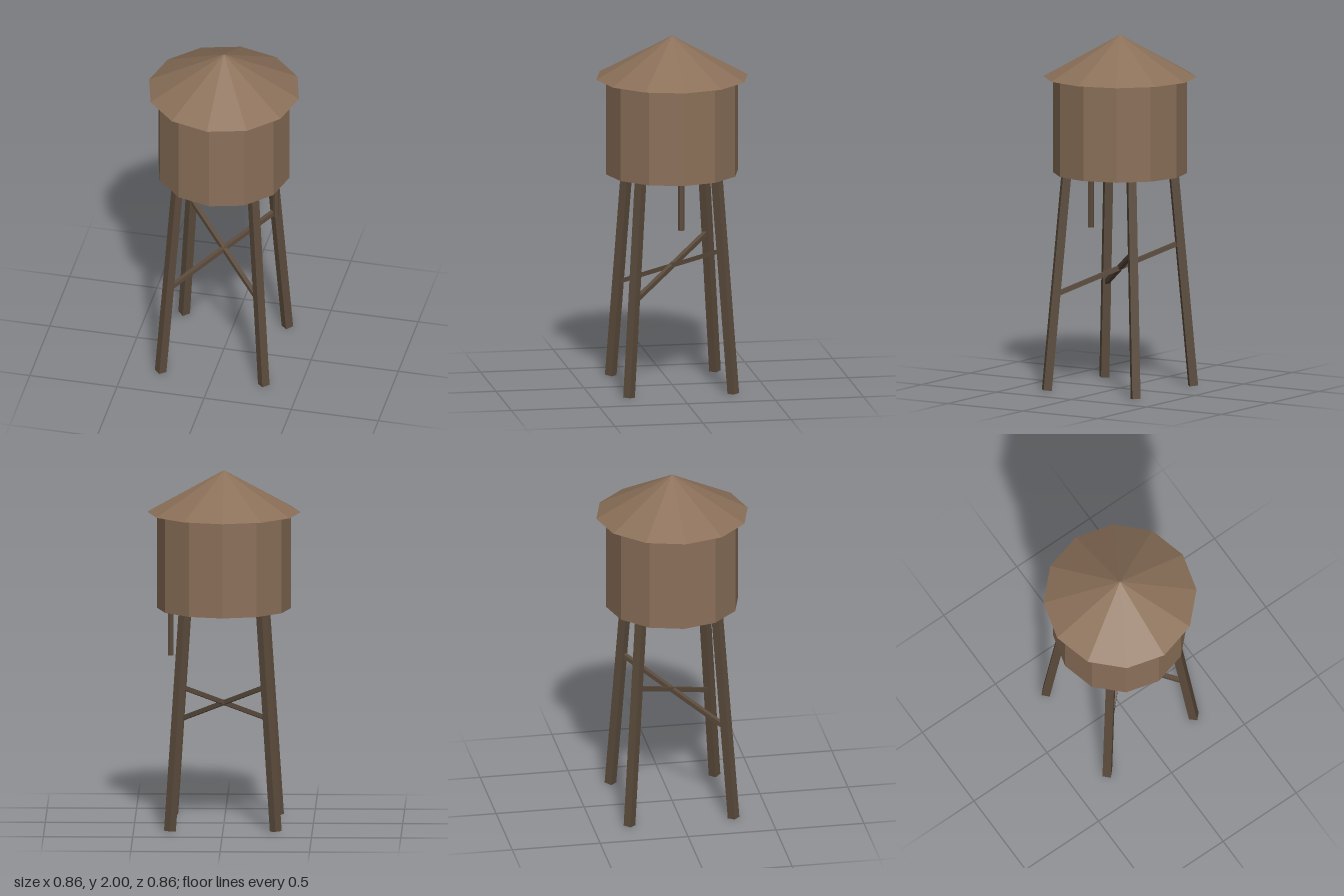
import * as THREE from 'three';

export function createModel() {
  const model = new THREE.Group();
  model.name = 'waterTower';

  const paleWood = new THREE.MeshStandardMaterial({ color: 0x8b7059, flatShading: true });
  paleWood.name = 'paleWood';
  const darkWood = new THREE.MeshStandardMaterial({ color: 0x5c4c3d, flatShading: true });
  darkWood.name = 'darkWood';

  const add = (name, geometry, material, x, y, z) => {
    const mesh = new THREE.Mesh(geometry, material);
    mesh.name = name;
    mesh.position.set(x, y, z);
    model.add(mesh);
    return mesh;
  };

  // Square beam between two points, its sides kept upright
  const beam = (name, from, to, thickness) => {
    const a = new THREE.Vector3(...from);
    const b = new THREE.Vector3(...to);
    const mid = a.clone().add(b).multiplyScalar(0.5);
    const geometry = new THREE.BoxGeometry(thickness, thickness, a.distanceTo(b));
    add(name, geometry, darkWood, mid.x, mid.y, mid.z).lookAt(b);
  };

  // Twelve-sided tank and overhanging roof
  add('tank', new THREE.CylinderGeometry(0.376, 0.376, 0.545, 12), paleWood, 0, 1.4925, 0);
  add('roof', new THREE.ConeGeometry(0.43, 0.237, 12), paleWood, 0, 1.8815, 0);

  // Four splayed legs, turned to face outwards
  for (const sx of [-1, 1]) {
    for (const sz of [-1, 1]) {
      beam('leg', [sx * 0.296, 0.002, sz * 0.296], [sx * 0.216, 1.235, sz * 0.216], 0.047);
    }
  }

  // Diagonal braces crossing in the middle, high at the back and low at the front
  for (const s of [-1, 1]) {
    beam('brace', [s * 0.245, 0.55, 0.245], [-s * 0.235, 0.81, -0.235], 0.025);
  }

  // Outlet pipe under one side of the tank
  add('pipe', new THREE.CylinderGeometry(0.018, 0.018, 0.28, 6), darkWood, 0.298, 1.09, 0);

  return model;
}
